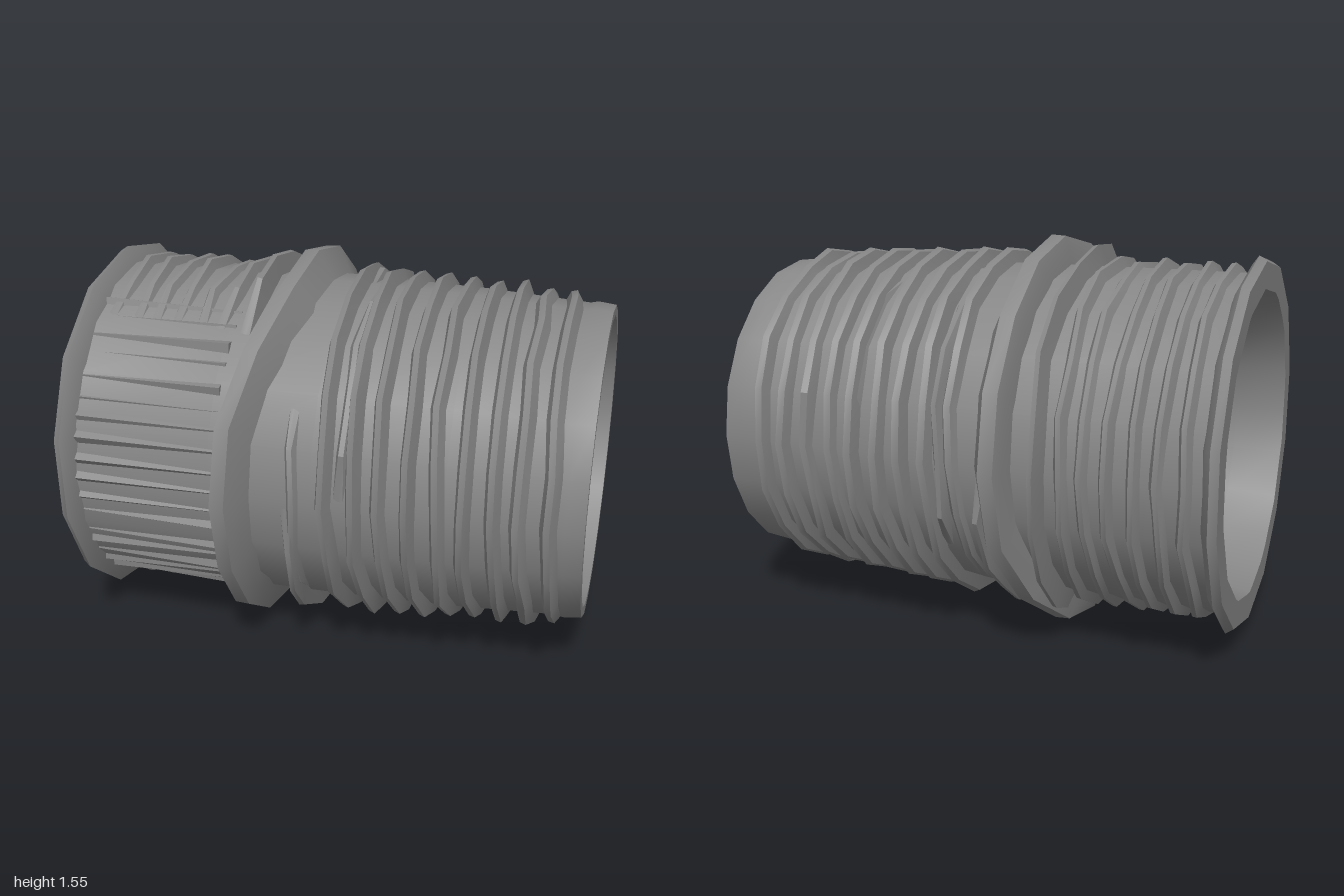
import * as THREE from 'three';
import { toCreasedNormals } from 'three/addons/utils/BufferGeometryUtils.js';

const CY = 0.775;            // height of the pipe axis (runs along x)
const TAU = Math.PI * 2;
const SIDES = 20;
const STEP = TAU / SIDES;

// small seeded random
let seed = 7;
function rand() {
  seed = (seed * 16807) % 2147483647;
  return seed / 2147483647;
}

// Sweep a profile of [x, h] points around the axis.
// path(j) gives angle (0 = front, growing towards the top), x shift, base radius and height scale.
function sweep(profile, count, path) {
  const pos = [], index = [], n = profile.length;
  for (let j = 0; j <= count; j++) {
    const p = path(j);
    for (const [x, h] of profile) {
      const r = p.base + h * p.scale;
      pos.push(p.x + x, CY + r * Math.sin(p.angle), r * Math.cos(p.angle));
    }
  }
  for (let j = 0; j < count; j++) {
    for (let i = 0; i < n - 1; i++) {
      const a = j * n + i, b = a + 1, c = a + n, d = c + 1;
      index.push(a, b, d, a, d, c);
    }
  }
  const geo = new THREE.BufferGeometry();
  geo.setAttribute('position', new THREE.Float32BufferAttribute(pos, 3));
  geo.setIndex(index);
  return toCreasedNormals(geo, 0.5);
}

export function createModel() {
  seed = 7;
  const model = new THREE.Group();
  const steel = new THREE.MeshStandardMaterial({ color: 0x868686 });
  steel.name = 'grey steel';
  const add = (name, geo, parent = model) => {
    const mesh = new THREE.Mesh(geo, steel);
    mesh.name = name;
    parent.add(mesh);
    return mesh;
  };
  const group = (name) => {
    const g = new THREE.Group();
    g.name = name;
    model.add(g);
    return g;
  };

  // Tapered pipe wall: outside, end face, bore, other end face
  const wall = [
    [-1, 0.61], [-1, 0.68], [-0.94, 0.664], [-0.4, 0.662], [0, 0.657], [0.5, 0.643], [0.9, 0.62],
    [0.93, 0.627], [1, 0.619], [1, 0.58], [0.7, 0.572], [0, 0.569], [-0.8, 0.58], [-1, 0.61],
  ];
  add('pipeWall', sweep(wall, SIDES, (j) => ({ angle: j * STEP, x: 0, base: 0, scale: 1 })));

  // Coarse rim around the wide end
  const rim = [[-1, 0.61], [-1, 0.715], [-0.97, 0.735], [-0.945, 0.7], [-0.925, 0.64]];
  add('endRim', sweep(rim, 14, (j) => ({
    angle: ((j + 0.5) / 14) * TAU, x: 0, base: 0, scale: 1 + 0.008 * Math.sin(3 * j * TAU / 14),
  })));

  // Collar that jogs towards the narrow end over the top and back
  const collar = [[-0.075, -0.02], [-0.06, 0.075], [-0.045, 0.122], [0.012, 0.125], [0.045, 0.06], [0.085, -0.02]];
  add('collar', sweep(collar, 16, (j) => {
    const a = (j / 16) * TAU;
    return {
      angle: a,
      x: -0.235 + 0.075 * Math.tanh(3 * Math.cos(a - 0.75 * Math.PI)),
      base: 0.65, scale: 1 - 0.06 * Math.sin(2 * a) ** 2,
    };
  }));

  // Arc rib that fades out at both ends; steps are multiples of STEP
  const ridge = [[-0.032, -0.1], [-0.01, 1], [0.009, 0.95], [0.03, -0.1]];
  function arcRib(name, parent, x, from, to, base, height, profile = ridge) {
    const count = to - from;
    add(name, sweep(profile, count, (j) => ({
      angle: (from + j) * STEP,
      x: x + (rand() - 0.5) * 0.026,
      base,
      scale: j === 0 || j === count ? 0.002 : height * (0.65 + 0.6 * rand()),
    })), parent);
  }

  // Ring ribs over the top, back and bottom of the grip section
  const gripRings = group('gripRings');
  for (let i = 0; i < 6; i++) {
    arcRib('gripRing', gripRings, -0.87 + i * 0.09, 3, 17, 0.655, 0.041);
  }
  arcRib('collarBackRib', gripRings, -0.325, 3, 15, 0.655, 0.085);
  arcRib('collarLowerRib', gripRings, -0.1, 10, 20, 0.65, 0.07);

  // Lengthwise ribs on the front of the grip section, thinner towards one end
  const gripRibs = group('gripRibs');
  const ribCount = 19;
  for (let i = 0; i < ribCount; i++) {
    const a = -1.12 + (2.24 * i) / (ribCount - 1) + (rand() - 0.5) * 0.04;
    const size = a > 0.4 && i % 2 ? 0.5 : 0.9 + 0.3 * rand();
    const wide = 0.025 * size, thin = 0.01 * size;
    const flip = rand() > 0.65;
    const geo = new THREE.CylinderGeometry(flip ? wide : thin, flip ? thin : wide, 0.56, 4, 1);
    geo.rotateZ(-Math.PI / 2);
    const rib = add('gripRib', toCreasedNormals(geo, 0.5), gripRibs);
    // sit on the flat facets of the pipe wall
    const local = a - STEP * Math.floor(a / STEP) - STEP / 2;
    const r = (0.658 * Math.cos(STEP / 2)) / Math.cos(local);
    rib.position.set(-0.655, CY + r * Math.sin(a), r * Math.cos(a));
    rib.rotation.x = -a;
  }

  // Outer right-hand thread, tapering with the wall (swept from the narrow end back)
  const turns = 9, pitch = 0.102;
  const threadProfile = [[-0.035, -0.1], [-0.017, 0.85], [0.007, 1], [0.03, -0.1]];
  const count = turns * SIDES;
  add('outerThread', sweep(threadProfile, count, (j) => {
    const x = 0.9 - (pitch * j) / SIDES;
    const fade = Math.min(1, j / 3, (count - j) / 10);
    return {
      angle: -Math.PI / 2 + j * STEP,
      x: x + (rand() - 0.5) * 0.02,
      base: 0.655 - Math.max(0, x) * 0.035,
      scale: (0.064 - 0.022 * Math.max(0, x)) * fade * (0.7 + 0.5 * rand()) + 0.001,
    };
  }));

  // Broken thread starts beside the collar and on the back
  const starts = group('threadStarts');
  arcRib('threadStart', starts, 0.06, 5, 12, 0.647, 0.045);
  arcRib('threadStart', starts, 0.12, 0, 5, 0.647, 0.04);
  arcRib('threadStart', starts, 0.42, 6, 12, 0.637, 0.035);
  arcRib('threadStart', starts, -0.08, -3, 2, 0.647, 0.035);
  arcRib('threadStart', starts, 0.28, 13, 18, 0.641, 0.05);

  // Inner ribs on the front half of the bore (profile reversed so they face inward)
  const innerRidge = [[0.04, 0.1], [0.012, -1], [-0.012, -0.95], [-0.038, 0.1]];
  const boreRibs = group('boreRibs');
  for (let i = 0; i < 14; i++) {
    arcRib('boreRib', boreRibs, 0.7 - i * 0.108, -6, 6, 0.577, 0.027, innerRidge);
  }

  return model;
}
